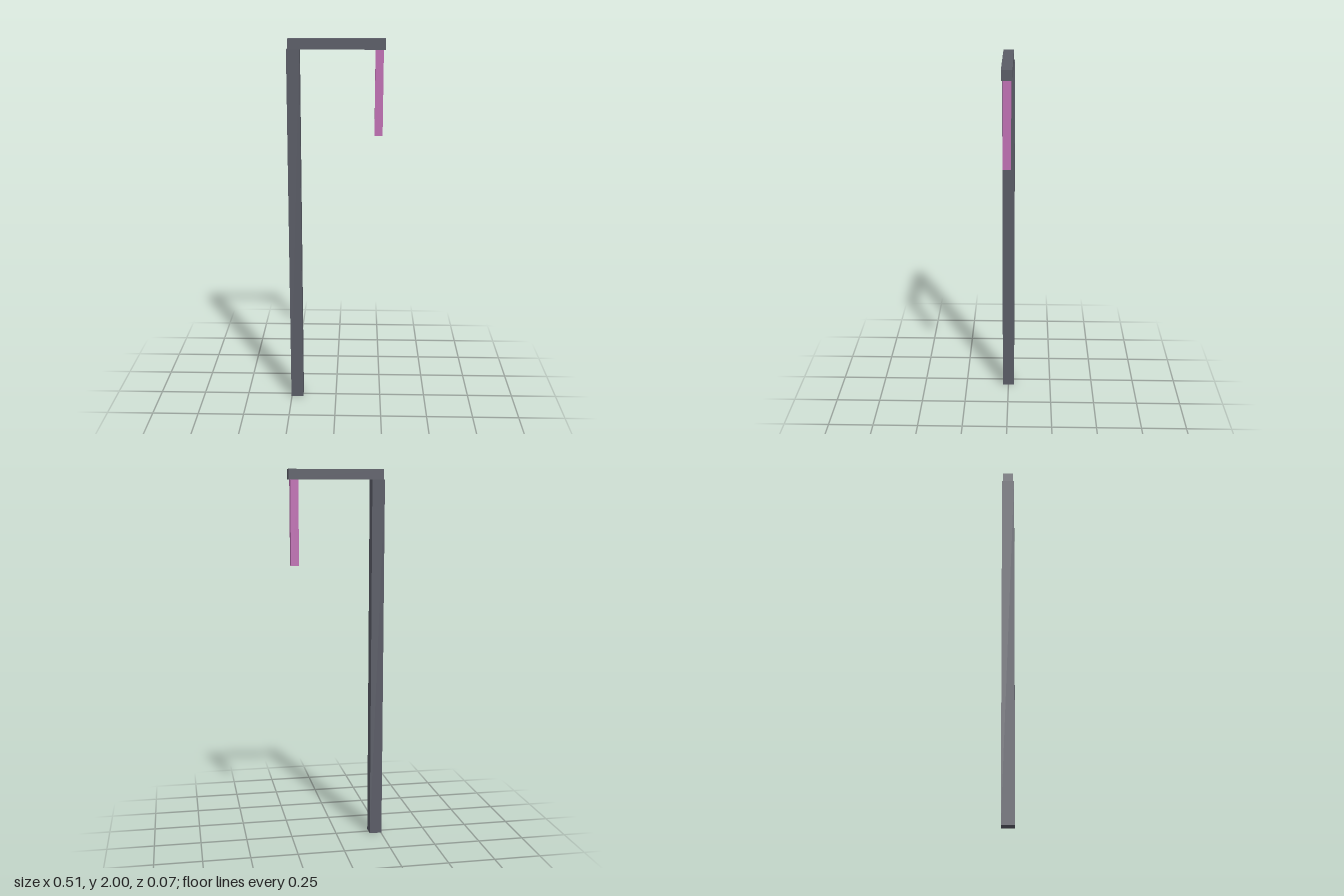
import * as THREE from 'three';

export function createModel() {
  const model = new THREE.Group();
  const metal = new THREE.MeshStandardMaterial({ color: 0x5a5c66 });
  metal.name = 'dark grey metal';
  const pink = new THREE.MeshStandardMaterial({ color: 0xc070b4 });
  pink.name = 'pink';

  // Square-section bar given by its x and y extents and its depth
  const addBar = (name, material, x0, x1, y0, y1, depth) => {
    const bar = new THREE.Mesh(new THREE.BoxGeometry(x1 - x0, y1 - y0, depth), material);
    bar.name = name;
    bar.position.set((x0 + x1) / 2, (y0 + y1) / 2, 0);
    model.add(bar);
  };

  addBar('post', metal, -0.253, -0.186, 0, 1.947, 0.067);
  addBar('crossArm', metal, -0.248, 0.253, 1.947, 2, 0.055);
  addBar('hangingBar', pink, 0.201, 0.243, 1.503, 1.947, 0.042);

  return model;
}
